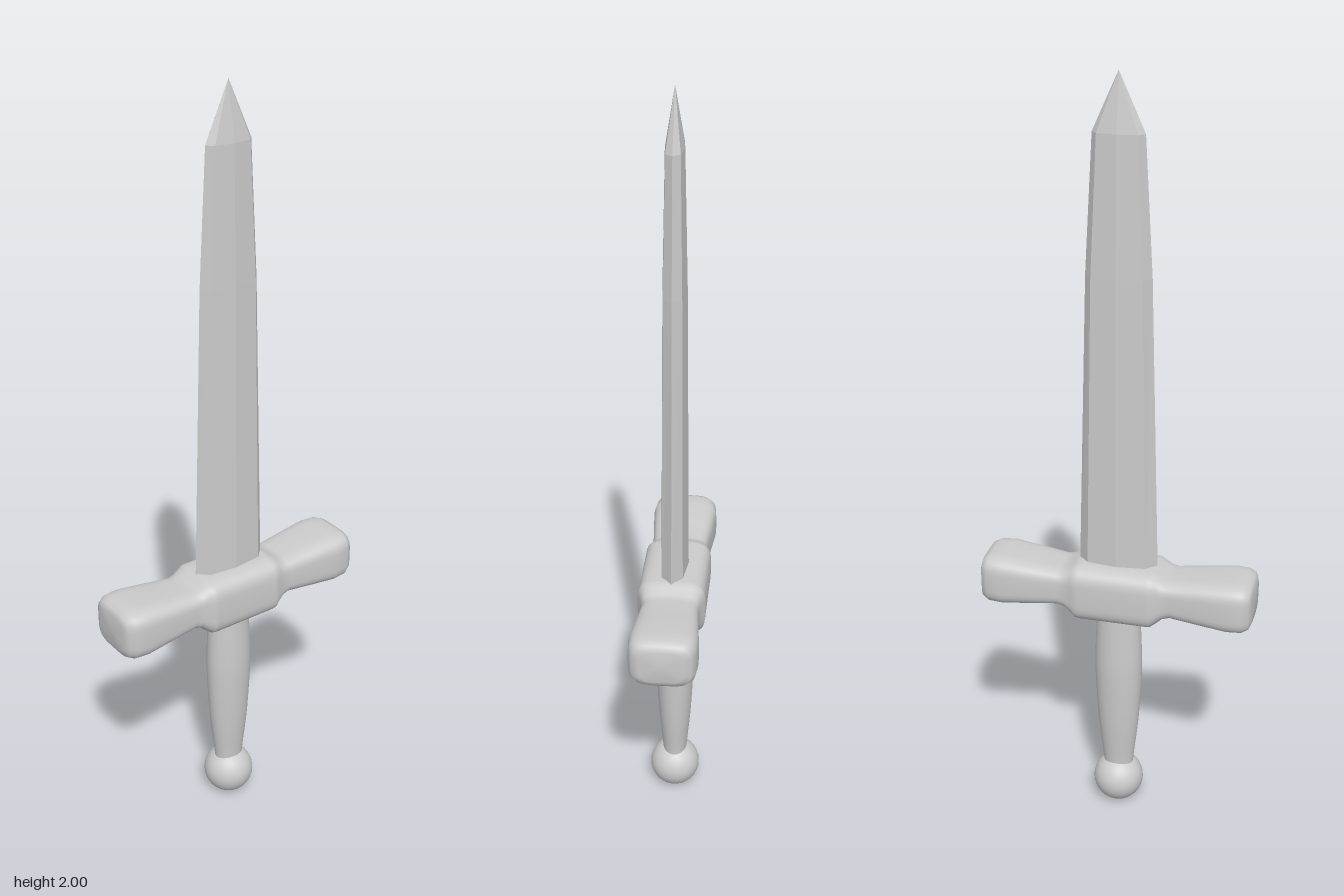
import * as THREE from 'three';

// Skin closed rings of points; each ring turns counter-clockwise about the sweep direction
function loft(rings) {
  const n = rings[0].length;
  const index = [];
  for (let i = 0; i < rings.length - 1; i++) {
    for (let j = 0; j < n; j++) {
      const k = (j + 1) % n;
      const a = i * n + j, b = i * n + k, c = (i + 1) * n + k, d = (i + 1) * n + j;
      index.push(a, b, c, a, c, d);
    }
  }
  const geometry = new THREE.BufferGeometry();
  geometry.setAttribute('position', new THREE.Float32BufferAttribute(rings.flat(2), 3));
  geometry.setIndex(index);
  geometry.computeVertexNormals();
  return geometry;
}

// Rounded-rectangle ring across x, from low y to high y and half depth z
function guardRing([x, low, high, depth], sides = 40) {
  const soft = (v) => Math.sign(v) * Math.sqrt(Math.abs(v));
  return Array.from({ length: sides }, (_, j) => {
    const a = (j / sides) * Math.PI * 2;
    return [x, (low + high) / 2 + soft(Math.cos(a)) * (high - low) / 2, soft(Math.sin(a)) * depth];
  });
}

// Eight-sided blade ring: sharp side edges, a bevel and a central ridge
function bladeRing([y, w, t, bevel]) {
  return [[0, 1], [bevel, 0.76], [1, 0], [bevel, -0.76], [0, -1], [-bevel, -0.76], [-1, 0], [-bevel, 0.76]]
    .map(([x, z]) => [x * w, y, z * t]);
}

export function createModel() {
  const group = new THREE.Group();
  const smooth = new THREE.MeshStandardMaterial({ color: 0xcccccc });
  const faceted = new THREE.MeshStandardMaterial({ color: 0xcccccc, flatShading: true });
  const add = (name, geometry, material = smooth) => {
    const mesh = new THREE.Mesh(geometry, material);
    mesh.name = name;
    group.add(mesh);
    return mesh;
  };

  // Blade: y, half width, half thickness, bevel position
  add('blade', loft([
    [0.68, 0.106, 0.037, 0.74], [0.75, 0.104, 0.036, 0.74], [1.52, 0.083, 0.03, 0.77],
    [1.86, 0.064, 0.023, 0.77], [2, 0, 0, 0.77],
  ].map(bladeRing)), faceted);

  // Crossguard: x, low y, high y, half depth, mirrored to both arms
  const arm = [
    [0.09, 0.595, 0.752, 0.088], [0.1, 0.597, 0.751, 0.088], [0.113, 0.606, 0.746, 0.081],
    [0.13, 0.622, 0.735, 0.077], [0.15, 0.628, 0.731, 0.074], [0.22, 0.621, 0.74, 0.081],
    [0.3, 0.613, 0.749, 0.088], [0.338, 0.614, 0.748, 0.084], [0.355, 0.622, 0.741, 0.074],
    [0.362, 0.637, 0.726, 0.055], [0.363, 0.681, 0.681, 0],
  ];
  const mirrored = arm.map(([x, ...rest]) => [-x, ...rest]).reverse();
  add('crossguard', loft([...mirrored, ...arm].map((s) => guardRing(s))));

  // Grip: swelling oval handle
  const profile = new THREE.SplineCurve([
    [0.04, 0.11], [0.043, 0.15], [0.055, 0.26], [0.063, 0.4], [0.063, 0.48], [0.057, 0.62],
  ].map(([r, y]) => new THREE.Vector2(r, y)));
  add('grip', new THREE.LatheGeometry(profile.getPoints(24), 32)).scale.z = 0.8;

  // Pommel
  add('pommel', new THREE.SphereGeometry(0.068, 32, 20)).position.y = 0.068;

  return group;
}
